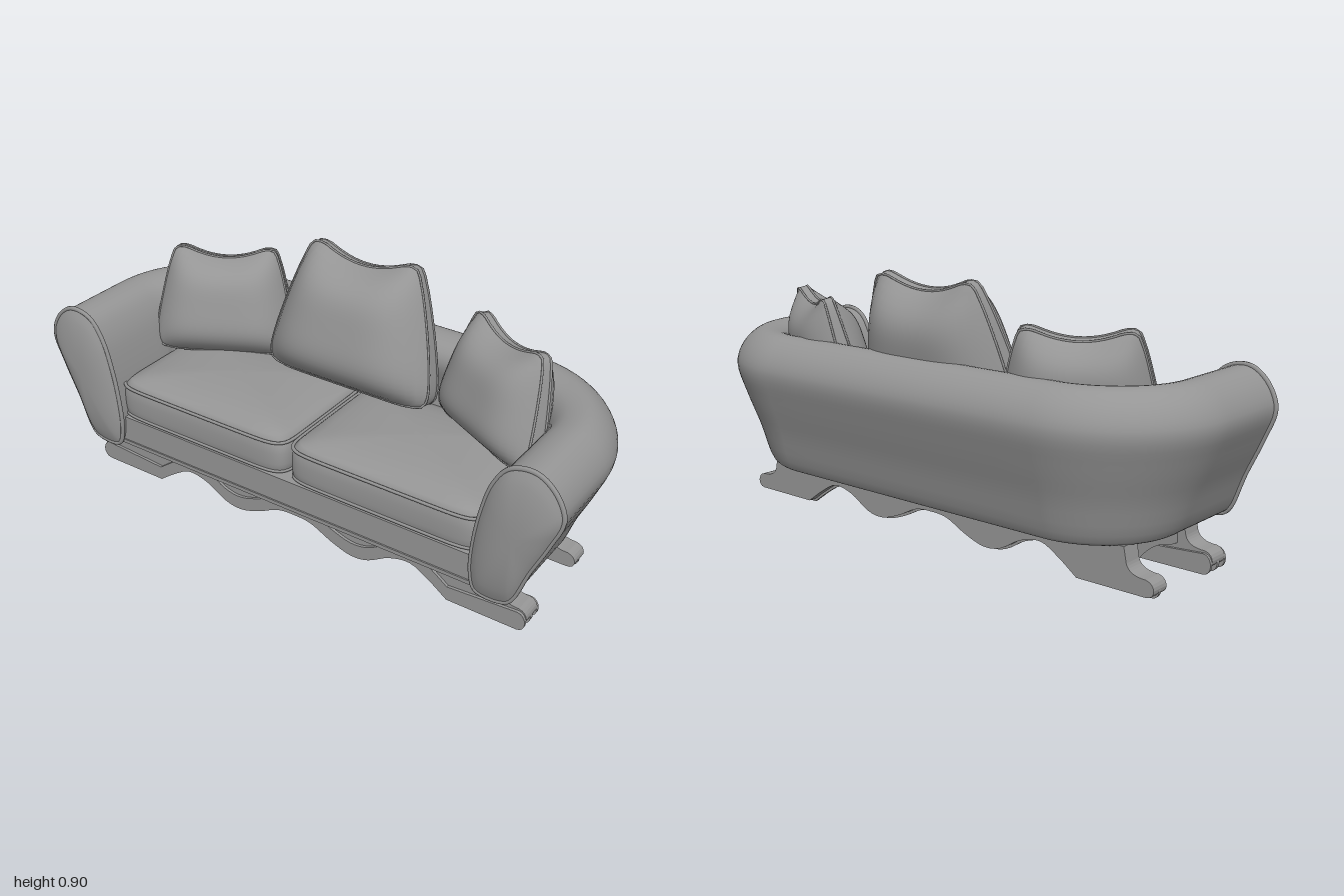
import * as THREE from 'three';
import { mergeVertices } from 'three/addons/utils/BufferGeometryUtils.js';

const material = new THREE.MeshStandardMaterial({ color: 0x959595 });
const { lerp, smoothstep } = THREE.MathUtils;
const V3 = (x, y, z) => new THREE.Vector3(x, y, z);

function add(parent, name, geometry, x = 0, y = 0, z = 0) {
  const mesh = new THREE.Mesh(geometry, material);
  mesh.name = name;
  mesh.position.set(x, y, z);
  parent.add(mesh);
  return mesh;
}

// Skin over a list of closed rings with equal point counts
function loft(rings) {
  const n = rings[0].length, pos = [], index = [];
  rings.forEach(r => r.forEach(p => pos.push(p.x, p.y, p.z)));
  for (let i = 0; i < rings.length - 1; i++) {
    for (let j = 0; j < n; j++) {
      const a = i * n + j, b = i * n + (j + 1) % n, c = a + n, d = b + n;
      index.push(a, c, b, b, c, d);
    }
  }
  const g = new THREE.BufferGeometry();
  g.setAttribute('position', new THREE.Float32BufferAttribute(pos, 3));
  g.setIndex(index);
  g.computeVertexNormals();
  return g;
}

const piping = (points, radius) =>
  new THREE.TubeGeometry(new THREE.CatmullRomCurve3(points, true), points.length * 2, radius, 6, true);

// Arm section: x = inset from the outer face, y = height
const section = new THREE.CatmullRomCurve3([
  [0.18, 0.153], [0.145, 0.17], [0.09, 0.3], [0.035, 0.42], [0, 0.52], [0.025, 0.59], [0.075, 0.636],
  [0.12, 0.645], [0.18, 0.625], [0.225, 0.56], [0.255, 0.46], [0.275, 0.34], [0.28, 0.23], [0.265, 0.165], [0.245, 0.153]
].map(([d, y]) => V3(d, y, 0)), true).getPoints(60).slice(0, -1);

// One-piece arms and back: the section swept round a U-shaped plan
function shellGeometry() {
  const path = []; // [x, z, angle of the outward direction, share of the back]
  for (let i = 0; i <= 6; i++) path.push([0.99, lerp(0.33, 0.05, i / 6), 0, 0]);
  for (let i = 1; i <= 18; i++) {
    const a = i / 18 * Math.PI / 2;
    path.push([0.57 + 0.42 * Math.cos(a), 0.05 - 0.42 * Math.sin(a), a, i / 18]);
  }
  for (let i = 1; i <= 4; i++) path.push([0.57 - 0.57 * i / 4, -0.37, Math.PI / 2, 1]);
  const mirrored = path.slice(0, -1).reverse().map(([x, z, a, k]) => [-x, z, Math.PI - a, k]);
  return loft([...path, ...mirrored].map(([x, z, a, k]) => section.map(p => {
    // The back leans less and is thinner below its rolled top
    const d = p.x * lerp(1, lerp(0.7, 1, smoothstep(p.y, 0.45, 0.62)), k);
    return V3(x - Math.cos(a) * d, p.y, z + Math.sin(a) * d);
  })));
}

// Bulged panel closing the front of an arm
function armFront(group, side) {
  const arm = new THREE.Group();
  arm.name = side > 0 ? 'leftArmFront' : 'rightArmFront';
  arm.scale.x = side;
  const cx = 0.85, cy = 0.41;
  const ring = (s, z) => section.map(p =>
    V3(cx + (0.99 - p.x - cx) * s, cy + (p.y - cy) * s, z));
  const rings = [];
  for (let i = 0; i <= 10; i++) {
    const s = i / 10;
    rings.push(ring(s * 1.01, 0.333 + 0.035 * Math.pow(1 - s ** 2.5, 0.8)));
  }
  add(arm, 'armPanel', loft(rings));
  add(arm, 'armPiping', piping(ring(1.015, 0.33), 0.008));
  group.add(arm);
}

// Domed seat cushion with two lines of piping
function seatCushion(group, x) {
  const cushion = new THREE.Group();
  cushion.name = 'seatCushion';
  cushion.position.set(x, 0, 0.055);
  const signedPow = (v, e) => Math.sign(v) * Math.abs(v) ** e;
  const ring = (s, y) => Array.from({ length: 72 }, (_, i) => {
    const a = (i + 0.5) / 72 * Math.PI * 2;
    return V3(0.364 * s * signedPow(Math.cos(a), 0.2), y, 0.255 * s * signedPow(Math.sin(a), 0.2));
  });
  const levels = [[0, 0.257], [0.96, 0.257], [0.99, 0.27], [1, 0.3], [1, 0.34], [0.985, 0.38],
    [0.93, 0.4], [0.8, 0.415], [0.6, 0.427], [0.3, 0.435], [0, 0.437]];
  add(cushion, 'cushionPad', loft(levels.map(([s, y]) => ring(s, y))));
  for (const y of [0.272, 0.382]) add(cushion, 'cushionPiping', piping(ring(0.99, y), 0.006));
  group.add(cushion);
}

// Plump back pillow, narrower at the top, with two raised corners
function pillow(group, name, o) {
  const warp = (x, y, z) => {
    const t = (y + 1) / 2;
    const half = lerp(o.bottom, o.top, t ** 1.7) * (1 - 0.05 * y ** 8);
    const top = o.ear * (1.3 * x * x - 0.6 * x ** 10) * t ** 3;
    const low = 0.02 * x ** 8 * (1 - t) ** 4;
    const plump = o.bulge * (1 - x ** 4) * (1 - y ** 4);
    return V3(x * half, o.height * t + top + low, z * (lerp(0.032, 0.016, t) + plump));
  };
  let g = new THREE.BoxGeometry(2, 2, 2, 22, 22, 4);
  g.deleteAttribute('uv');
  g.deleteAttribute('normal');
  g = mergeVertices(g);
  const p = g.attributes.position;
  for (let i = 0; i < p.count; i++) {
    const v = warp(p.getX(i), p.getY(i), p.getZ(i));
    p.setXYZ(i, v.x, v.y, v.z);
  }
  g.computeVertexNormals();
  const body = add(group, name, g, ...o.at);
  body.rotation.set(-o.tilt, o.yaw, 0, 'YXZ');
  // Seams follow the front and back rims
  for (const z of [-1, 1]) {
    const rim = [];
    for (let k = 0; k < 4; k++) {
      for (let i = 0; i < 10; i++) {
        const s = -1 + i / 5;
        const [x, y] = [[s, -1], [1, s], [-s, 1], [-1, -s]][k];
        rim.push(warp(x, y, z));
      }
    }
    add(body, 'pillowSeam', piping(rim, 0.004));
  }
}

// Scalloped lower edge shared by the base rails
const halfWave = [[0.6, 0], [0.53, 0.05], [0.46, 0.085], [0.38, 0.07], [0.3, 0.025], [0.23, 0.015], [0.15, 0.04], [0.07, 0.078]];
const wave = new THREE.SplineCurve([
  ...halfWave.map(([x, y]) => [-x, y]), [0, 0.085], ...halfWave.slice().reverse()
].map(([x, y]) => new THREE.Vector2(x, y))).getPoints(64);

function extrude(shape, depth) {
  return new THREE.ExtrudeGeometry(shape, { depth, bevelEnabled: false, curveSegments: 8 });
}

// Rail board with rounded feet and a stepped neck up to the seat
function railBoard(lift) {
  const s = new THREE.Shape();
  s.moveTo(-0.85, lift);
  wave.forEach(p => s.lineTo(p.x, p.y + lift));
  s.lineTo(0.85, lift);
  s.bezierCurveTo(0.89, lift, 0.885, 0.07, 0.85, 0.075);
  s.quadraticCurveTo(0.79, 0.075, 0.78, 0.11);
  s.lineTo(0.77, 0.16);
  s.lineTo(-0.77, 0.16);
  s.lineTo(-0.78, 0.11);
  s.quadraticCurveTo(-0.79, 0.075, -0.85, 0.075);
  s.bezierCurveTo(-0.885, 0.07, -0.89, lift, -0.85, lift);
  return s;
}

// Raised band that follows the lower edge
function railBand(lift) {
  const s = new THREE.Shape();
  s.moveTo(-0.85, lift);
  wave.forEach(p => s.lineTo(p.x, p.y + lift));
  s.lineTo(0.85, lift);
  s.bezierCurveTo(0.89, lift, 0.885, 0.068, 0.85, 0.068);
  wave.slice().reverse().forEach(p => s.lineTo(p.x, p.y + 0.052));
  s.lineTo(-0.85, 0.068);
  s.bezierCurveTo(-0.885, 0.068, -0.89, lift, -0.85, lift);
  return s;
}

export function createModel() {
  const sofa = new THREE.Group();
  sofa.name = 'sofa';

  add(sofa, 'armsAndBack', shellGeometry());
  armFront(sofa, 1);
  armFront(sofa, -1);

  // Seat frame with a thin lip under the front
  add(sofa, 'seatFrame', new THREE.BoxGeometry(1.46, 0.1, 0.36), 0, 0.21, 0.13);
  add(sofa, 'seatFrameBack', new THREE.BoxGeometry(1.4, 0.1, 0.18), 0, 0.21, -0.12);
  add(sofa, 'frontLip', new THREE.BoxGeometry(1.46, 0.014, 0.05), 0, 0.158, 0.29);

  seatCushion(sofa, -0.376);
  seatCushion(sofa, 0.357);

  pillow(sofa, 'middlePillow', {
    bottom: 0.325, top: 0.215, height: 0.425, ear: 0.05, bulge: 0.118, tilt: 0.22, yaw: 0, at: [-0.01, 0.44, -0.078] });
  for (const side of [-1, 1]) {
    pillow(sofa, side > 0 ? 'leftPillow' : 'rightPillow', {
      bottom: 0.25, top: 0.185, height: 0.34, ear: 0.042, bulge: 0.09, tilt: 0.22, yaw: -side * 0.48,
      at: [side * 0.535 - 0.008, 0.42, -0.065] });
  }

  // Base: front and rear rails joined by scalloped side aprons
  const base = new THREE.Group();
  base.name = 'base';
  base.position.x = -0.01;
  sofa.add(base);
  add(base, 'frontRail', extrude(railBoard(0.02), 0.075), 0, 0, 0.17);
  for (const [z, depth] of [[0.245, 0.01], [0.2, 0.015], [0.16, 0.01]]) {
    add(base, 'frontRailBand', extrude(railBand(0), depth), 0, 0, z);
  }
  add(base, 'rearRail', extrude(railBoard(0.02), 0.07), 0, 0, -0.165);
  add(base, 'rearRailBand', extrude(railBand(0.01), 0.01), 0, 0, -0.135);

  const apron = new THREE.Shape();
  apron.moveTo(-0.18, 0.16);
  apron.lineTo(-0.18, 0.078);
  apron.lineTo(-0.12, 0.08);
  apron.bezierCurveTo(-0.06, 0.085, -0.06, 0.102, 0, 0.102);
  apron.bezierCurveTo(0.06, 0.102, 0.06, 0.085, 0.12, 0.08);
  apron.lineTo(0.14, 0.078);
  apron.lineTo(0.14, 0.16);
  for (const side of [-1, 1]) {
    add(base, 'sideApron', extrude(apron, 0.03), side * 0.735 - 0.015, 0, 0.03).rotation.y = Math.PI / 2;
  }
  return sofa;
}
